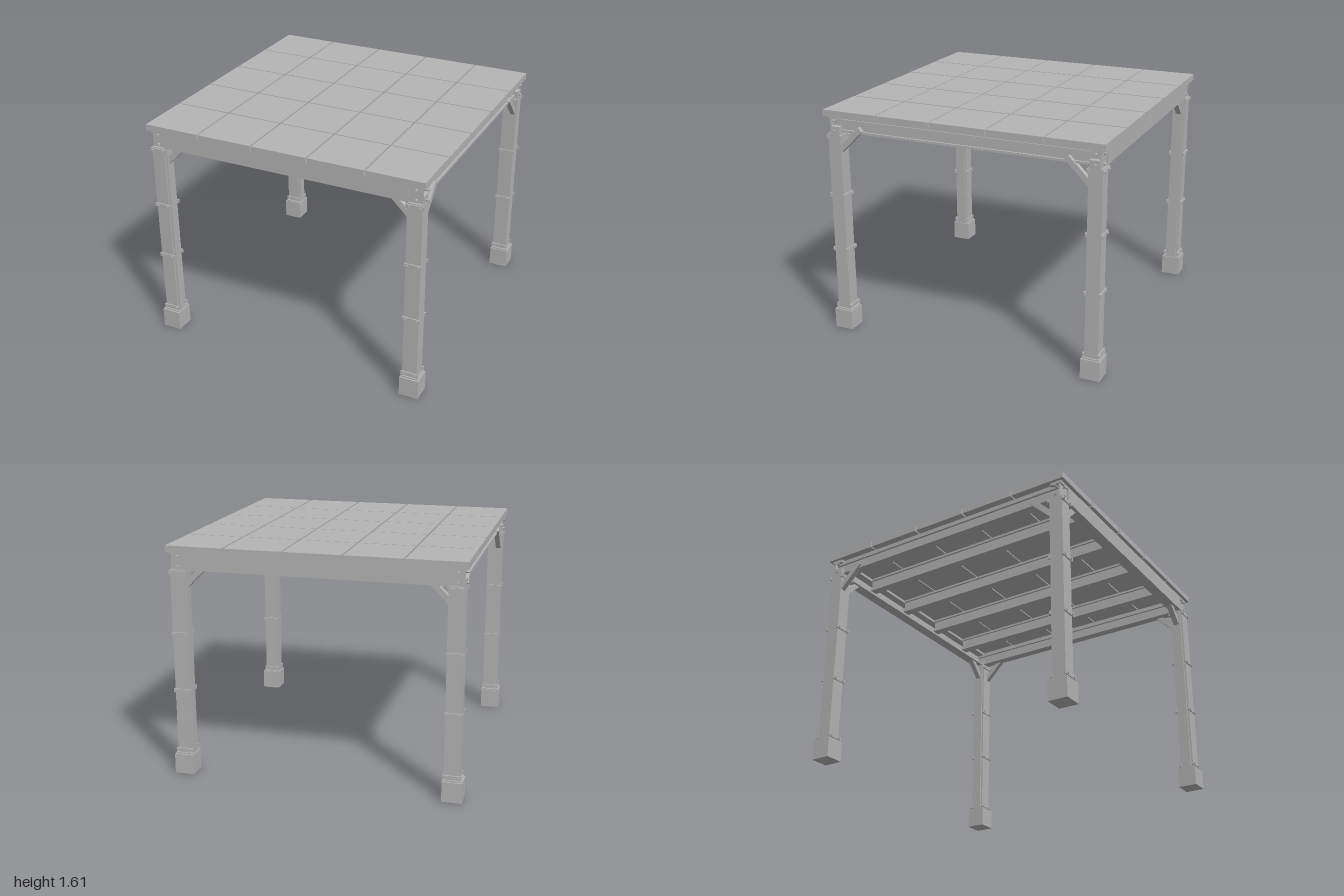
import * as THREE from 'three';

const steel = new THREE.MeshStandardMaterial({ color: 0xb4b4b4 });
steel.name = 'greySteel';

// Box between two opposite corners, given in any order
function box(parent, name, x0, x1, y0, y1, z0, z1) {
  const mesh = new THREE.Mesh(
    new THREE.BoxGeometry(Math.abs(x1 - x0), Math.abs(y1 - y0), Math.abs(z1 - z0)), steel);
  mesh.position.set((x0 + x1) / 2, (y0 + y1) / 2, (z0 + z1) / 2);
  mesh.name = name;
  parent.add(mesh);
  return mesh;
}

// Hexagonal bolt with its axis along x or z
function bolt(parent, x, y, z, axis, length) {
  const mesh = new THREE.Mesh(new THREE.CylinderGeometry(0.009, 0.009, length, 6).toNonIndexed(), steel);
  mesh.geometry.computeVertexNormals();
  if (axis === 'z') mesh.rotation.x = Math.PI / 2;
  else mesh.rotation.z = Math.PI / 2;
  mesh.position.set(x, y, z);
  mesh.name = 'bolt';
  parent.add(mesh);
}

// I-section rail running along z
function rail(parent, name, x, halfWidth, y0, y1, halfLength) {
  const g = new THREE.Group();
  g.name = name;
  const t = 0.016;
  box(g, 'bottomFlange', x - halfWidth, x + halfWidth, y0, y0 + t, -halfLength, halfLength);
  box(g, 'topFlange', x - halfWidth, x + halfWidth, y1 - t, y1, -halfLength, halfLength);
  box(g, 'web', x - halfWidth * 0.55, x + halfWidth * 0.55, y0 + t, y1 - t, -halfLength, halfLength);
  parent.add(g);
}

// Clamp plates and bolts on the front and back faces of a post
function clamp(parent, sx, sz, y) {
  const g = new THREE.Group();
  g.name = 'postClamp';
  for (const [za, zb] of [[0.978, 0.989], [0.876, 0.887]]) {
    box(g, 'clampPlate', sx * 0.868, sx * 0.99, y - 0.013, y + 0.013, sz * za, sz * zb);
  }
  for (const x of [0.892, 0.968]) {
    bolt(g, sx * x, y, sz * 0.9325, 'z', 0.128);
  }
  parent.add(g);
}

// One corner: footing, post, clamps, bracket and two braces
function corner(sx, sz) {
  const g = new THREE.Group();
  g.name = 'cornerPost';
  box(g, 'footing', sx * 0.865, sx, 0, 0.14, sz * 0.865, sz);
  box(g, 'basePlate', sx * 0.872, sx * 0.99, 0.14, 0.15, sz * 0.872, sz * 0.99);
  box(g, 'post', sx * 0.885, sx * 0.98, 0.14, 1.44, sz * 0.885, sz * 0.98);
  box(g, 'postLip', sx * 0.872, sx * 0.885, 0.14, 1.44, sz * 0.898, sz * 0.967);
  box(g, 'postHead', sx * 0.885, sx * 0.98, 1.44, 1.49, sz * 0.89, sz * 0.96);
  for (const y of [0.17, 0.6, 1.0, 1.42]) clamp(g, sx, sz, y);

  // Bracket joining the beams
  box(g, 'cornerBracket', sx * 0.88, sx * 0.975, 1.44, 1.54, sz * 0.955, sz * 0.965);
  for (const y of [1.46, 1.53]) {
    bolt(g, sx * 0.972, y, sz * 0.93, 'x', 0.04);
    bolt(g, sx * 0.93, y, sz * 0.968, 'z', 0.03);
  }

  // Diagonal braces
  const frontBrace = box(g, 'frontBrace', -0.12, 0.12, -0.019, 0.019, -0.02, 0.02);
  frontBrace.position.set(sx * 0.815, 1.402, sz * 0.9325);
  frontBrace.rotation.z = -sx * Math.PI / 4;
  const sideBrace = box(g, 'sideBrace', -0.018, 0.018, -0.019, 0.019, -0.118, 0.118);
  sideBrace.position.set(sx * 0.953, 1.402, sz * 0.82);
  sideBrace.rotation.x = sz * Math.PI / 4;
  return g;
}

export function createModel() {
  const model = new THREE.Group();
  model.name = 'canopy';

  for (const sx of [-1, 1]) for (const sz of [-1, 1]) model.add(corner(sx, sz));

  // Front and back beams, channels open to the inside
  for (const s of [-1, 1]) {
    const g = new THREE.Group();
    g.name = s > 0 ? 'frontBeam' : 'backBeam';
    box(g, 'beamWeb', -0.882, 0.882, 1.44, 1.56, s * 0.955, s * 0.975);
    box(g, 'beamBottomFlange', -0.882, 0.882, 1.44, 1.455, s * 0.895, s * 0.955);
    box(g, 'beamTopFlange', -0.98, 0.98, 1.54, 1.56, s * 0.895, s * 0.975);
    model.add(g);
  }

  // Side rails and inner joists below the panel seams
  for (const s of [-1, 1]) rail(model, 'sideRail', s * 0.925, 0.033, 1.45, 1.54, 0.955);
  for (const x of [-0.6, -0.2, 0.2, 0.6]) rail(model, 'joist', x, 0.03, 1.46, 1.56, 0.9);
  for (const s of [-1, 1]) box(model, 'roofBearer', s * 0.9, s * 0.95, 1.54, 1.56, -0.9, 0.9);

  // Five by five roof panels with narrow seams
  const roof = new THREE.Group();
  roof.name = 'roof';
  const edge = (i, gap) => [i === 0 ? -1 : -1 + i * 0.4 + gap, i === 4 ? 1 : -0.6 + i * 0.4 - gap];
  for (let i = 0; i < 5; i++) {
    for (let j = 0; j < 5; j++) {
      const [x0, x1] = edge(i, 0.006);
      const [z0, z1] = edge(j, 0.004);
      box(roof, 'roofPanel', x0, x1, 1.56, 1.605, z0, z1);
    }
  }
  model.add(roof);
  return model;
}
